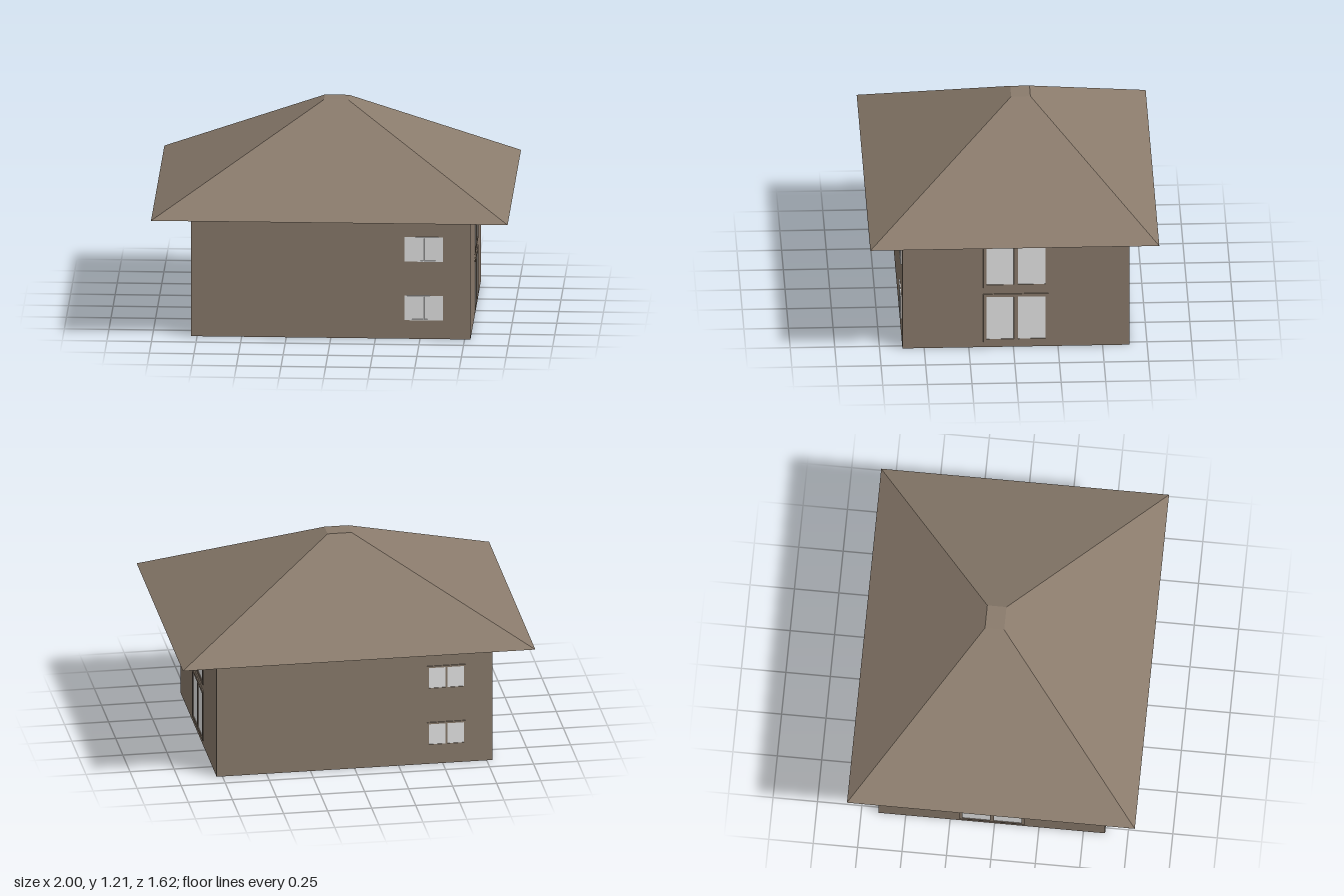
import * as THREE from 'three';

const stone = new THREE.MeshStandardMaterial({ color: 0x8a7b6c });
stone.name = 'brown render';
const glass = new THREE.MeshStandardMaterial({ color: 0xececec });
glass.name = 'pale glass';

const EAVES = 0.717, RIDGE = 1.21;
const WALL_X = 0.783, FRONT_Z = 0.622, BACK_Z = -0.652;

function rectPath(target, x, y, w, h) {
  target.moveTo(x - w / 2, y - h / 2);
  target.lineTo(x + w / 2, y - h / 2);
  target.lineTo(x + w / 2, y + h / 2);
  target.lineTo(x - w / 2, y + h / 2);
  target.closePath();
  return target;
}

// Two-pane window facing +z, centred on its own origin
function makeWindow(name, paneW, paneH, gap, border, frameMaterial) {
  const group = new THREE.Group();
  group.name = name;
  const offset = (paneW + gap) / 2;
  const shape = rectPath(new THREE.Shape(), 0, 0, 2 * paneW + gap + 2 * border, paneH + 2 * border);
  for (const side of [-1, 1]) {
    shape.holes.push(rectPath(new THREE.Path(), side * offset, 0, paneW, paneH));
    const pane = new THREE.Mesh(new THREE.BoxGeometry(paneW, paneH, 0.004), glass);
    pane.name = 'windowPane';
    pane.position.x = side * offset;
    group.add(pane);
  }
  const frame = new THREE.Mesh(
    new THREE.ExtrudeGeometry(shape, { depth: 0.006, bevelEnabled: false }), frameMaterial);
  frame.name = 'windowFrame';
  group.add(frame);
  return group;
}

// Hipped roof: a box whose top is drawn in to a small flat cap
function makeRoof() {
  const geometry = new THREE.BoxGeometry(2, RIDGE - EAVES, 1.62).toNonIndexed();
  const p = geometry.attributes.position;
  for (let i = 0; i < p.count; i++) {
    const top = p.getY(i) > 0;
    if (!top) continue;
    p.setX(i, Math.sign(p.getX(i)) * 0.068);
    p.setZ(i, p.getZ(i) > 0 ? -0.015 : -0.123);
  }
  geometry.computeVertexNormals();
  const roof = new THREE.Mesh(geometry, stone);
  roof.name = 'roof';
  roof.position.y = (RIDGE + EAVES) / 2;
  return roof;
}

export function createModel() {
  const house = new THREE.Group();
  house.name = 'house';

  const walls = new THREE.Mesh(
    new THREE.BoxGeometry(2 * WALL_X, EAVES, FRONT_Z - BACK_Z), stone);
  walls.name = 'walls';
  walls.position.set(0, EAVES / 2, (FRONT_Z + BACK_Z) / 2);
  house.add(walls, makeRoof());

  // Small windows, front and back, on two floors
  for (const y of [0.18, 0.52]) {
    const front = makeWindow('frontWindow', 0.098, 0.13, 0.008, 0.006, glass);
    front.position.set(0.52, y, FRONT_Z);
    const back = makeWindow('backWindow', 0.094, 0.122, 0.01, 0.01, stone);
    back.position.set(-0.52, y, BACK_Z);
    back.rotation.y = Math.PI;
    house.add(front, back);
  }

  // Tall windows on both sides
  for (const side of [-1, 1]) {
    for (const y of [0.182, 0.52]) {
      const tall = makeWindow('sideWindow', 0.153, 0.262, 0.024, 0.018, stone);
      tall.position.set(side * WALL_X, y, -0.014);
      tall.rotation.y = side * Math.PI / 2;
      house.add(tall);
    }
  }
  return house;
}
